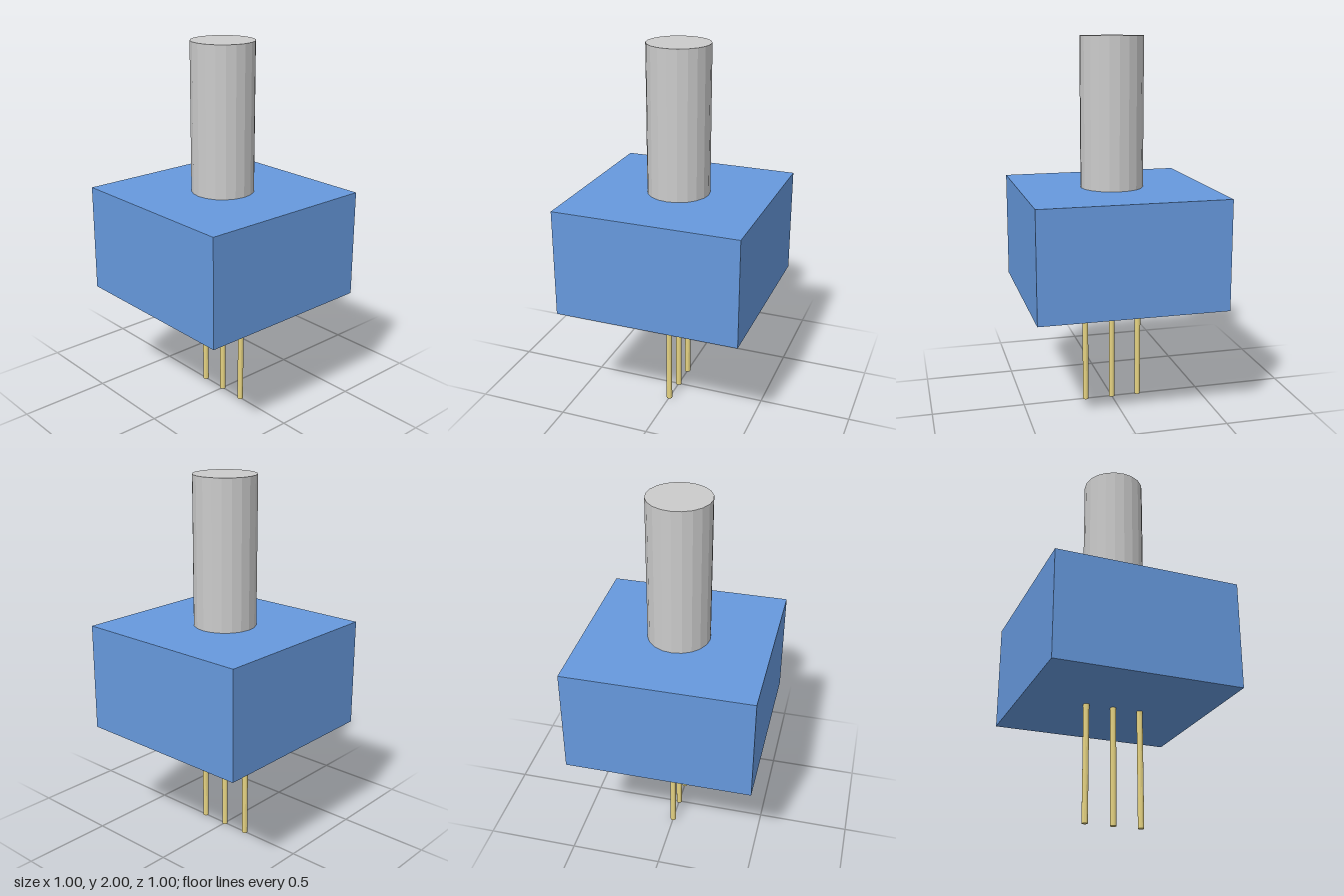
import * as THREE from 'three';

export function createModel() {
  const model = new THREE.Group();
  const material = (color) => new THREE.MeshStandardMaterial({ color, flatShading: true });
  const blue = material(0x6699dd);
  const grey = material(0xcccccc);
  const brass = material(0xe6d382);

  const add = (name, geometry, mat, x, y) => {
    const mesh = new THREE.Mesh(geometry, mat);
    mesh.name = name;
    mesh.position.set(x, y, 0);
    model.add(mesh);
  };

  // Square housing
  const bottom = 0.623, top = 1.206;
  add('housing', new THREE.BoxGeometry(1, top - bottom, 1), blue, 0, (top + bottom) / 2);

  // Turning shaft on top
  add('shaft', new THREE.CylinderGeometry(0.168, 0.168, 2 - top, 20), grey, 0, (2 + top) / 2);

  // Three terminal pins below
  const pin = new THREE.CylinderGeometry(0.016, 0.016, bottom, 12);
  ['rightPin', 'centrePin', 'leftPin'].forEach((name, i) => {
    add(name, pin, brass, (i - 1) * 0.15, bottom / 2);
  });

  return model;
}
